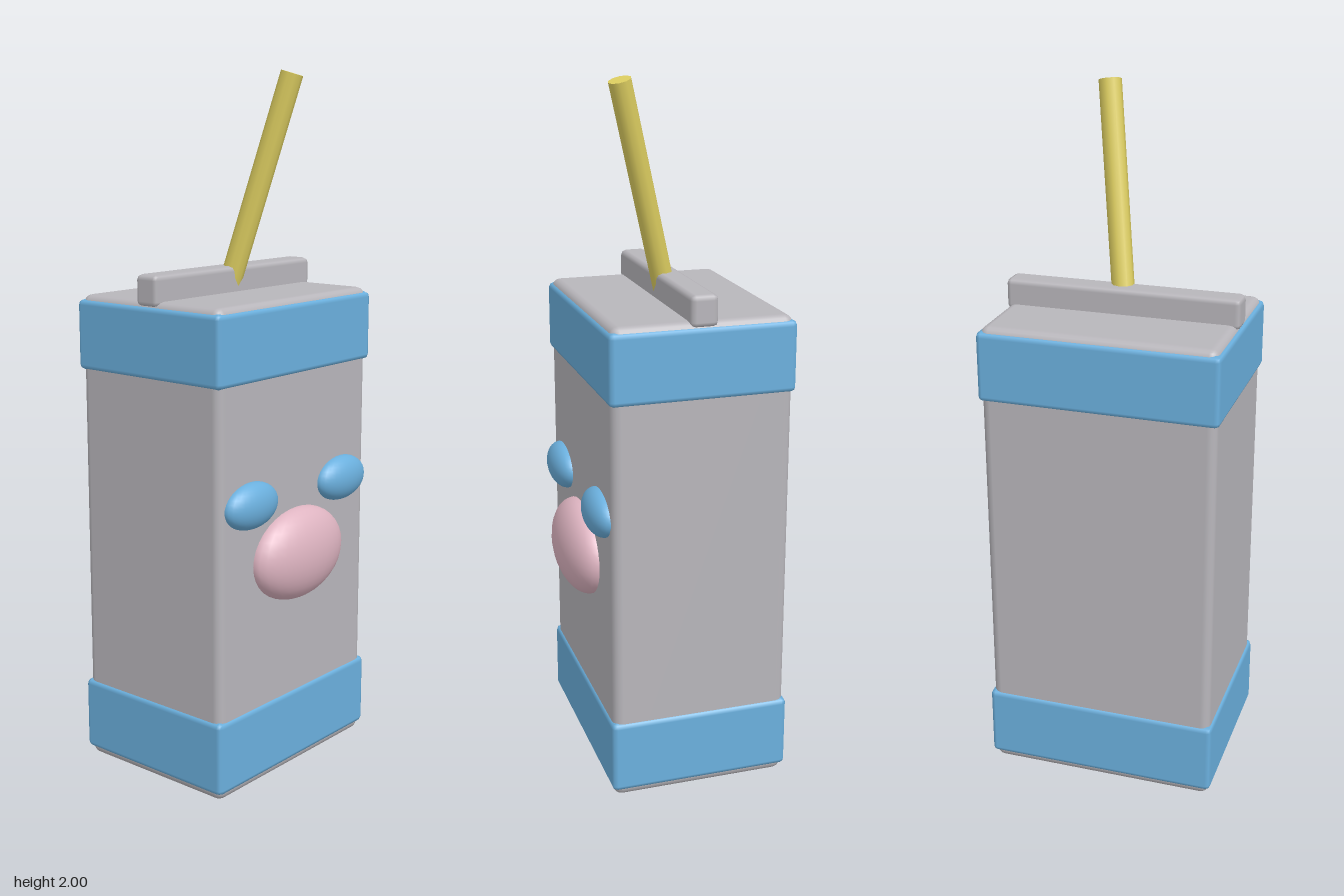
import * as THREE from 'three';
import { RoundedBoxGeometry } from 'three/addons/geometries/RoundedBoxGeometry.js';

const paint = (name, color) => {
  const m = new THREE.MeshStandardMaterial({ color });
  m.name = name;
  return m;
};

export function createModel() {
  const grey = paint('carton grey', 0xb8b6bb);
  const blue = paint('band blue', 0x6bb0de);
  const pink = paint('nose pink', 0xdfb5c2);
  const yellow = paint('straw yellow', 0xdccd60);

  const model = new THREE.Group();
  model.name = 'drinkCarton';

  const add = (name, geometry, material, x, y, z) => {
    const mesh = new THREE.Mesh(geometry, material);
    mesh.name = name;
    mesh.position.set(x, y, z);
    model.add(mesh);
    return mesh;
  };

  // Bevelled box spanning y0..y1, centred on x = 0
  const box = (name, material, w, d, y0, y1, z, radius, segments = 1) =>
    add(name, new RoundedBoxGeometry(w, y1 - y0, d, segments, radius), material, 0, (y0 + y1) / 2, z);

  // Carton, its two bands and the folded seam on top
  const cz = -0.038;
  box('cartonBody', grey, 0.668, 0.514, 0, 1.386, cz, 0.026, 2);
  box('lowerBand', blue, 0.684, 0.528, 0.022, 0.236, cz, 0.015);
  box('upperBand', blue, 0.684, 0.528, 1.172, 1.372, cz, 0.015);
  box('topSeam', grey, 0.676, 0.078, 1.37, 1.458, -0.038, 0.015);

  // Flattened ellipsoids sunk halfway into the front
  const blob = (name, material, x, y, rx, ry, rz) =>
    add(name, new THREE.SphereGeometry(1, 28, 18), material, x, y, 0.22).scale.set(rx, ry, rz);
  blob('nose', pink, 0, 0.654, 0.192, 0.134, 0.08);
  blob('leftEye', blue, 0.206, 0.835, 0.107, 0.066, 0.047);
  blob('rightEye', blue, -0.206, 0.835, 0.107, 0.066, 0.047);

  // Straw leaning forward and to the left
  const foot = new THREE.Vector3(-0.002, 1.37, -0.04);
  const tip = new THREE.Vector3(0.091, 1.991, 0.121);
  const axis = tip.clone().sub(foot);
  const straw = add('straw', new THREE.CylinderGeometry(0.032, 0.032, axis.length(), 10), yellow,
    ...foot.clone().add(tip).multiplyScalar(0.5).toArray());
  straw.quaternion.setFromUnitVectors(new THREE.Vector3(0, 1, 0), axis.normalize());

  return model;
}
